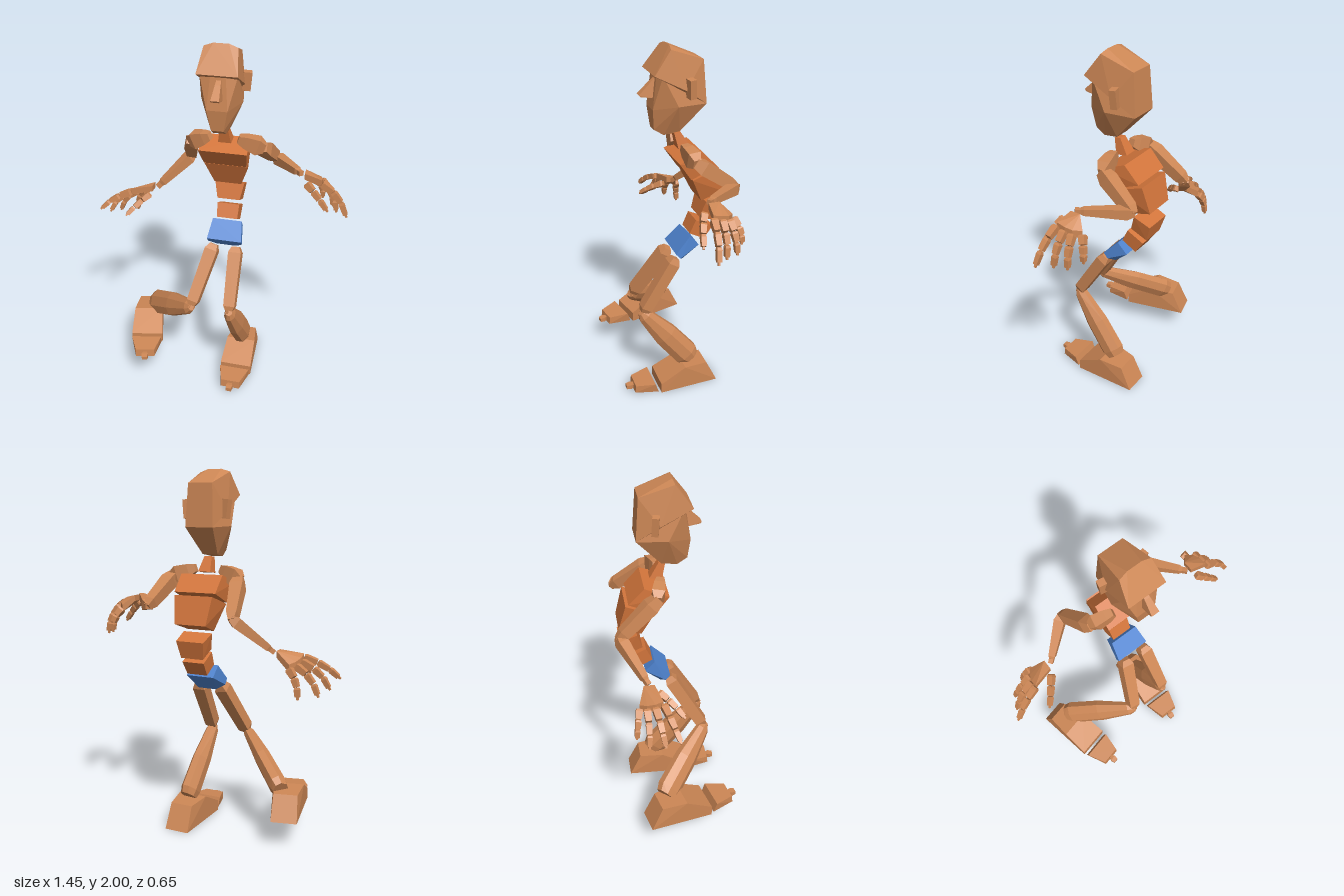
import * as THREE from 'three';
import { ConvexGeometry } from 'three/addons/geometries/ConvexGeometry.js';

const skin = new THREE.MeshStandardMaterial({ color: 0xcd8755, flatShading: true });
const shirt = new THREE.MeshStandardMaterial({ color: 0xd4763c, flatShading: true });
const blue = new THREE.MeshStandardMaterial({ color: 0x4f84d0, flatShading: true });
const V = (a) => new THREE.Vector3(...a);

function hull(name, points, material = skin) {
  const mesh = new THREE.Mesh(new ConvexGeometry(points), material);
  mesh.name = name;
  return mesh;
}

// Faceted block, mirrored about x = cx, from corners [halfWidth, y, z]
function block(name, cx, corners, material) {
  const points = [];
  for (const [w, y, z] of corners) points.push(V([cx - w, y, z]), V([cx + w, y, z]));
  return hull(name, points, material);
}

// Limb from a to b with rings [t, halfWidth, halfDepth]
function limb(name, a, b, rings, sides = 4, hint = [1, 0, 0]) {
  const start = V(a), axis = V(b).sub(start), dir = axis.clone().normalize();
  const depth = new THREE.Vector3().crossVectors(dir, V(hint)).normalize();
  const width = new THREE.Vector3().crossVectors(depth, dir);
  const points = [];
  for (const [t, w, d] of rings) {
    for (let i = 0; i < sides; i++) {
      const angle = ((i + 0.5) / sides) * Math.PI * 2;
      const k = sides === 4 ? Math.SQRT2 : 1;
      points.push(start.clone().addScaledVector(axis, t)
        .addScaledVector(width, Math.cos(angle) * w * k)
        .addScaledVector(depth, Math.sin(angle) * d * k));
    }
  }
  return hull(name, points);
}

// Finger along three or more joints, with a small nub at the tip
function finger(name, joints, r) {
  const g = new THREE.Group();
  g.name = name;
  const curve = new THREE.CatmullRomCurve3(joints.map(V));
  const n = 3;
  for (let i = 0; i < n; i++) {
    const a = curve.getPoint(i / n).toArray(), b = curve.getPoint((i + 1) / n).toArray();
    const s = r * (1 - i * 0.12);
    g.add(limb('fingerSegment', a, b,
      [[0.02, s * 0.75, s * 0.75], [0.2, s, s], [0.95, s * 0.85, s * 0.85]], 4, [0, 0, 1]));
  }
  const tip = V(joints[joints.length - 1]);
  const end = tip.clone().addScaledVector(curve.getTangent(1), 0.012);
  g.add(limb('fingertip', tip.toArray(), end.toArray(), [[-0.5, 0.006, 0.006], [1, 0.005, 0.005]], 4, [0, 0, 1]));
  return g;
}

function hand(name, wrist, fingers, thumb) {
  const g = new THREE.Group();
  g.name = name;
  const points = [];
  for (const s of [-1, 1]) {
    for (const z of [-0.028, 0.028]) points.push(V(wrist).add(V([0, s * 0.017, z])));
    for (const f of fingers) points.push(V(f[0]).add(V([0, s * 0.02, 0])));
  }
  g.add(hull('palm', points));
  fingers.forEach((f) => g.add(finger('finger', f, 0.018)));
  g.add(finger('thumb', thumb, 0.018));
  return g;
}

function arm(name, root, shoulder, elbow, wrist) {
  const g = new THREE.Group();
  g.name = name;
  g.add(limb('collar', root, shoulder, [[0, 0.02, 0.02], [0.3, 0.028, 0.034], [0.8, 0.034, 0.045], [1.08, 0.02, 0.025]], 4, [0, 0, 1]));
  g.add(limb('upperArm', shoulder, elbow, [[-0.02, 0.025, 0.025], [0.18, 0.036, 0.037], [0.88, 0.028, 0.03], [1.04, 0.016, 0.016]]));
  g.add(limb('forearm', elbow, wrist, [[-0.04, 0.016, 0.016], [0.1, 0.029, 0.029], [0.88, 0.018, 0.018], [0.96, 0.01, 0.01]], 4, [0, 1, 0]));
  g.add(limb('wrist', elbow, wrist, [[0.94, 0.013, 0.013], [1.04, 0.013, 0.013]], 4, [0, 1, 0]));
  return g;
}

function leg(name, hip, knee, ankle) {
  const g = new THREE.Group();
  g.name = name;
  g.add(limb('thigh', hip, knee, [[-0.02, 0.022, 0.02], [0.07, 0.037, 0.034], [0.9, 0.032, 0.032], [0.97, 0.02, 0.02]]));
  g.add(limb('knee', hip, knee, [[0.93, 0.022, 0.022], [1.02, 0.022, 0.022]], 6));
  g.add(limb('shin', knee, ankle,
    [[-0.02, 0.022, 0.022], [0.06, 0.034, 0.045], [0.5, 0.05, 0.075], [0.95, 0.053, 0.078], [1.04, 0.045, 0.06]], 8));
  return g;
}

function foot(name, position, turn) {
  const g = new THREE.Group();
  g.name = name;
  g.add(block('footBody', 0, [[0.07, 0, -0.245], [0.065, 0.135, -0.18], [0.085, 0.145, -0.04],
    [0.092, 0.065, 0.11], [0.092, 0.005, 0.11]]));
  g.add(block('toeBlock', 0, [[0.085, 0.012, 0.125], [0.088, 0.07, 0.145], [0.055, 0.06, 0.255], [0.055, 0.015, 0.26]]));
  g.add(block('toeTip', 0, [[0.011, 0.02, 0.255], [0.011, 0.045, 0.255], [0.019, 0.018, 0.275],
    [0.019, 0.046, 0.275], [0.015, 0.02, 0.3], [0.015, 0.042, 0.3]]));
  g.position.set(...position);
  g.rotation.y = turn;
  return g;
}

function head() {
  const g = new THREE.Group();
  g.name = 'head';
  g.add(block('cranium', 0.03, [[0.107, 1.865, 0.105], [0.105, 1.845, 0.07], [0.088, 1.985, 0.015], [0.04, 2, 0.008],
    [0.07, 1.923, -0.165], [0.08, 1.696, -0.182], [0.11, 1.78, -0.06]]));
  g.add(block('face', 0.03, [[0.1, 1.86, 0.06], [0.04, 1.85, 0.075], [0.112, 1.7, -0.02], [0.055, 1.68, 0.1], [0.08, 1.696, -0.182],
    [0.033, 1.568, 0.088], [0.035, 1.535, 0.035], [0.045, 1.55, -0.05]]));
  g.add(block('nose', 0.035, [[0.012, 1.84, 0.07], [0.015, 1.815, 0.1], [0.022, 1.755, 0.163],
    [0.024, 1.735, 0.09], [0.022, 1.745, 0.155]]));
  for (const s of [-1, 1]) {
    const ear = new THREE.Mesh(new THREE.BoxGeometry(0.045, 0.1, 0.036), skin);
    ear.name = 'ear';
    ear.position.set(0.033 + s * 0.112, 1.79, -0.085);
    ear.rotation.set(0.07, s * 0.2, -s * 0.1);
    g.add(ear);
  }
  return g;
}

export function createModel() {
  const model = new THREE.Group();
  model.name = 'figure';
  model.add(head());

  // Torso: stacked blocks following the bent spine
  model.add(block('neck', 0.037, [[0.022, 1.535, -0.025], [0.022, 1.54, -0.06], [0.036, 1.45, -0.045], [0.036, 1.46, -0.11]], shirt));
  model.add(block('upperChest', 0.03, [[0.135, 1.4, -0.02], [0.122, 1.45, -0.15], [0.12, 1.298, -0.09], [0.12, 1.36, -0.235]], shirt));
  model.add(block('lowerChest', 0.03, [[0.12, 1.292, -0.1], [0.11, 1.345, -0.25], [0.078, 1.152, -0.165], [0.09, 1.195, -0.29]], shirt));
  model.add(block('belly', 0.035, [[0.085, 1.143, -0.19], [0.08, 1.105, -0.287], [0.065, 1.05, -0.16], [0.065, 1.01, -0.26]], shirt));
  model.add(block('waist', 0.04, [[0.064, 1.032, -0.14], [0.064, 0.985, -0.24], [0.06, 0.955, -0.105], [0.06, 0.91, -0.19]], shirt));
  model.add(block('pelvis', 0.045, [[0.085, 0.95, -0.095], [0.08, 0.89, -0.15], [0.1, 0.86, -0.01], [0.1, 0.83, -0.035], [0.055, 0.803, -0.06]], blue));

  // Arms
  const leftWrist = [0.45, 1.305, -0.075], rightWrist = [-0.39, 1.075, -0.18];
  model.add(arm('leftArm', [0.11, 1.475, -0.06], [0.24, 1.43, -0.08], [0.28, 1.285, -0.29], leftWrist));
  model.add(arm('rightArm', [-0.045, 1.475, -0.06], [-0.16, 1.425, -0.09], [-0.215, 1.245, -0.3], rightWrist));
  model.add(hand('leftHand', [0.475, 1.295, -0.085], [
    [[0.57, 1.27, -0.045], [0.66, 1.21, -0.035], [0.712, 1.11, -0.02]],
    [[0.57, 1.26, -0.09], [0.635, 1.19, -0.09], [0.655, 1.1, -0.085]],
    [[0.56, 1.25, -0.13], [0.615, 1.18, -0.145], [0.63, 1.1, -0.15]],
    [[0.525, 1.24, -0.165], [0.562, 1.18, -0.195], [0.568, 1.12, -0.2]],
  ], [[0.49, 1.27, -0.03], [0.55, 1.22, 0], [0.61, 1.15, 0.018]]));
  model.add(hand('rightHand', [-0.42, 1.065, -0.175], [
    [[-0.54, 1.045, -0.12], [-0.64, 1.005, -0.09], [-0.71, 0.945, -0.062]],
    [[-0.54, 1.03, -0.16], [-0.63, 0.98, -0.145], [-0.68, 0.9, -0.13]],
    [[-0.525, 1.015, -0.2], [-0.605, 0.955, -0.2], [-0.645, 0.875, -0.205]],
    [[-0.5, 1.005, -0.235], [-0.545, 0.94, -0.25], [-0.557, 0.865, -0.258]],
  ], [[-0.43, 1.04, -0.13], [-0.485, 1, -0.065], [-0.535, 0.95, -0.015]]));

  // Legs
  model.add(leg('leftLeg', [0.117, 0.82, -0.01], [0.125, 0.505, 0.185], [0.15, 0.17, -0.085]));
  model.add(leg('rightLeg', [-0.015, 0.82, -0.01], [-0.1, 0.505, 0.185], [-0.405, 0.3, -0.085]));
  model.add(foot('leftFoot', [0.152, 0, 0], 0));
  model.add(foot('rightFoot', [-0.42, 0.155, 0.035], 0.23));
  return model;
}
